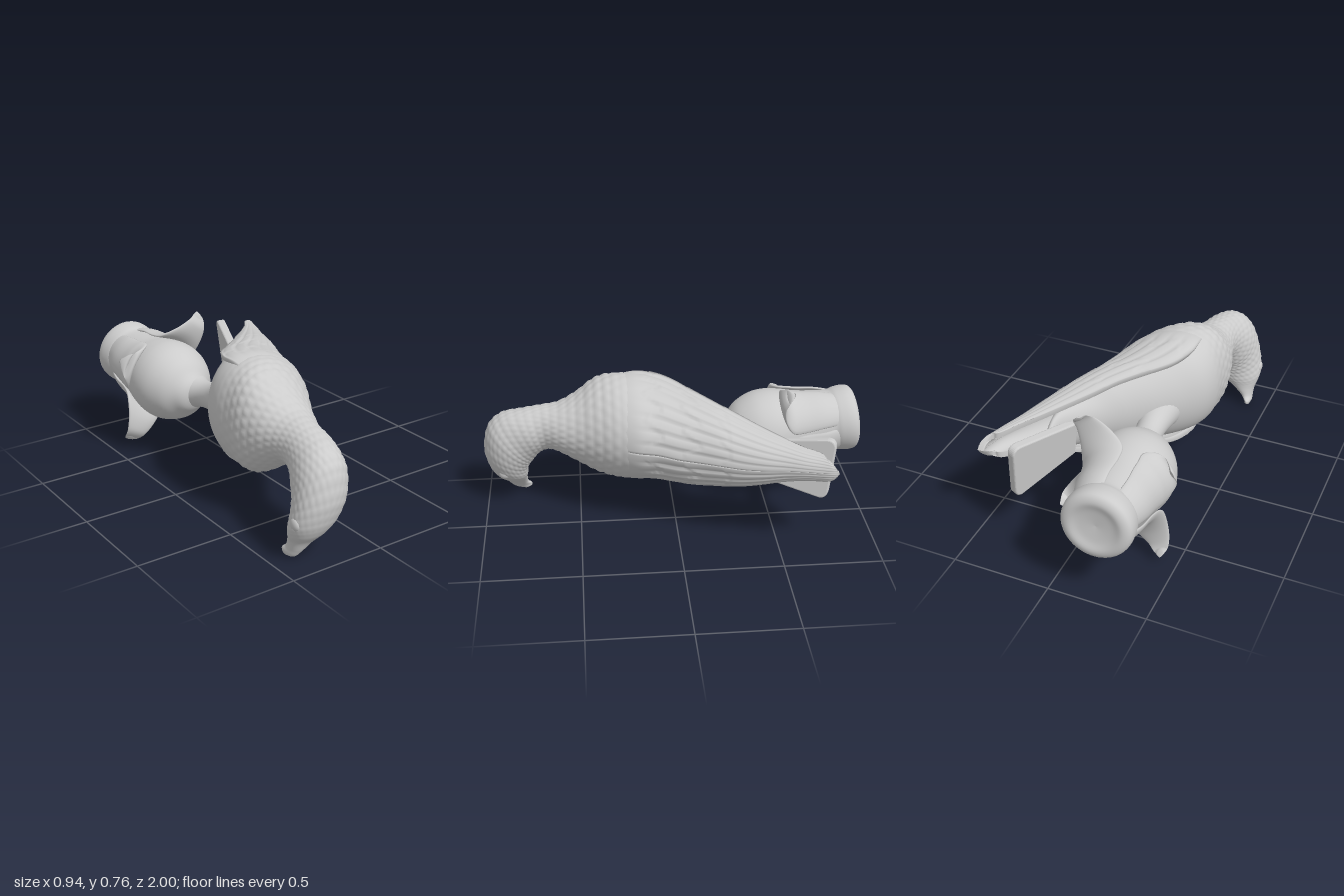
import * as THREE from 'three';

const grey = new THREE.MeshStandardMaterial({ color: 0xcccccc, side: THREE.DoubleSide });
const V = (x, y, z) => new THREE.Vector3(x, y, z);
const ramp = THREE.MathUtils.smoothstep;

function add(parent, name, geometry) {
  const mesh = new THREE.Mesh(geometry, grey);
  mesh.name = name;
  parent.add(mesh);
  return mesh;
}

// Smooth reading of a table of stations, t from 0 to 1
function sampler(table) {
  const n = table.length - 1;
  const it = new THREE.CubicInterpolant(table.map((_, i) => i), table.flat(), table[0].length);
  return t => Array.from(it.evaluate(Math.min(t, 1) * n));
}

// Skin over closed rings of points, capped at both ends, turned outwards
function loft(rings) {
  const n = rings[0].length, m = rings.length, index = [];
  const centre = ring => ring.reduce((s, p) => s.add(p), V(0, 0, 0)).divideScalar(n);
  const pts = [...rings.flat(), centre(rings[0]), centre(rings[m - 1])];
  for (let i = 0; i < m - 1; i++) {
    for (let j = 0; j < n; j++) {
      const a = i * n + j, b = i * n + (j + 1) % n;
      index.push(a, b, b + n, a, b + n, a + n);
    }
  }
  for (let j = 0; j < n; j++) {
    const k = (j + 1) % n, e = (m - 1) * n;
    index.push(m * n, k, j, m * n + 1, e + j, e + k);
  }
  let volume = 0;
  for (let i = 0; i < index.length; i += 3) {
    volume += pts[index[i]].dot(V(0, 0, 0).crossVectors(pts[index[i + 1]], pts[index[i + 2]]));
  }
  if (volume < 0) index.reverse();
  const g = new THREE.BufferGeometry().setFromPoints(pts);
  g.setIndex(index);
  g.computeVertexNormals();
  return g;
}

// Body, neck, head and bill in one skin: back z, back y, throat z, throat y, x, half width
function bodyGeometry() {
  const at = sampler([
    [-.54, .52, -.54, .44, .21, .015], [-.45, .58, -.45, .38, .2, .04],
    [-.3, .61, -.3, .33, .15, .12], [-.2, .65, -.2, .29, .09, .17],
    [-.1, .68, -.1, .26, .01, .2], [0, .71, 0, .23, -.055, .23],
    [.1, .735, .1, .215, -.105, .255], [.2, .75, .2, .2, -.125, .265],
    [.3, .75, .3, .2, -.145, .245], [.4, .72, .4, .22, -.175, .215],
    [.5, .65, .5, .28, -.195, .175], [.6, .6, .6, .34, -.205, .135],
    [.7, .58, .66, .345, -.22, .11], [.8, .56, .705, .32, -.23, .115],
    [.9, .53, .74, .27, -.25, .125], [.97, .46, .76, .24, -.262, .132],
    [1, .33, .775, .2, -.283, .132], [.985, .22, .78, .15, -.308, .121],
    [.955, .15, .785, .118, -.328, .094], [.915, .1, .787, .088, -.35, .06],
    [.885, .05, .785, .053, -.373, .033], [.855, .015, .768, .033, -.388, .02],
    [.805, 0, .767, .018, -.39, .011]]);
  const rings = [];
  for (let i = 0; i <= 240; i++) {
    const t = i / 240, [z1, y1, z2, y2, x, w] = at(t);
    const row = t * 48, fade = ramp(t, .3, .42) * (1 - ramp(t, .7, .84));
    // The breast is blunter than the back
    const breast = .05 * ramp(t, .18, .34) * (1 - ramp(t, .38, .5));
    const ring = [];
    for (let j = 0; j < 120; j++) {
      const a = j / 120 * Math.PI * 2, c = Math.cos(a), s = Math.sin(a);
      // Staggered rows of small overlapping feathers
      const col = Math.abs(Math.sin(a * 13 + (Math.floor(row) % 2) * Math.PI / 2));
      const k = .5 + fade * .014 * col * Math.sin((row % 1) * Math.PI);
      ring.push(V(x + w * s * k * 2 - breast * c * c, (y1 + y2) / 2 + (y1 - y2) * c * k,
        (z1 + z2) / 2 + (z1 - z2) * c * k));
    }
    rings.push(ring);
  }
  return loft(rings);
}

// Folded wing, a curved shell: z, hinge x, outer x, middle y, half height
function wingGeometry(side) {
  const at = sampler([
    [.31, -.14, .09, .475, .265], [.2, -.135, .15, .478, .28], [.1, -.13, .18, .478, .272],
    [0, -.1, .22, .47, .26], [-.1, -.03, .255, .468, .238], [-.2, .05, .3, .47, .213],
    [-.3, .12, .34, .47, .183], [-.4, .195, .375, .477, .148], [-.5, .27, .405, .488, .113],
    [-.6, .345, .44, .497, .085], [-.7, .4, .468, .5, .072], [-.75, .425, .472, .5, .062]]);
  const rings = [], n = 48;
  for (let i = 0; i <= 110; i++) {
    const t = i / 110, [z, x, right, y, h] = at(t);
    const arc = 2 - .4 * t, outer = [], inner = [];
    const breast = .05 * (1 - ramp(t, .1, .4));
    for (let j = 0; j <= n; j++) {
      const f = j / n, a = f * arc, c = Math.cos(a), s = Math.sin(a) * side;
      // Long feathers side by side, with three rows of shorter ones at the shoulder
      const feather = (f * 8) % 1;
      const step = t < .5 ? Math.abs((t * 6 + .25 * Math.sin(f * 25)) % 1) * ramp(f, 0, .1) : 0;
      const k = 1 - ramp(t, .05, .2) * (.045 * feather ** 3 + .015 * step);
      const thick = .008 + .022 * ramp(t, 0, .2);
      const zz = z + ramp(t, .85, 1) * .06 * f;
      const dx = -breast * s * s;
      outer.push(V(x + (right - x) * c * k + dx, y + h * s * k, zz));
      inner.unshift(V(x + (right - x - Math.min(thick, (right - x) * .6)) * c + dx, y + (h - thick) * s, zz));
    }
    rings.push([...outer, ...inner]);
  }
  return loft(rings);
}

// Stalk flaring into breast and pod: z, x, y, radius
function stalkGeometry() {
  const at = sampler([[.06, -.14, .45, .15], [-.04, -.16, .435, .105], [-.13, -.168, .415, .077],
    [-.22, -.175, .4, .07], [-.3, -.185, .39, .09], [-.37, -.195, .39, .14]]);
  const rings = [];
  for (let i = 0; i <= 24; i++) {
    const [z, x, y, r] = at(i / 24), ring = [];
    for (let j = 0; j < 32; j++) {
      const a = j / 32 * Math.PI * 2;
      ring.push(V(x + r * Math.cos(a), y + r * Math.sin(a), z));
    }
    rings.push(ring);
  }
  return loft(rings);
}

// Sepal hugging the pod and curling out at its tip: radius, distance along pod, half width
function sepalGeometry(angle, reach, wide) {
  const at = sampler([[.15, .89, .1], [.176, .8, .115], [.19, .7, .13], [.214, .63, .135],
    [.27, .59, .1], [.34, .58, .065], [.38, .6, .042], [.39, .625, .015]]);
  const rings = [];
  for (let i = 0; i <= 40; i++) {
    const t = i / 40, [r0, d, w] = at(t), ring = [];
    const r = r0 < .2 ? r0 : .2 + (r0 - .2) * (reach - .2) / .19;
    const half = w * (1 + (wide - 1) * ramp(t, .3, .7));
    for (let j = 0; j < 24; j++) {
      const b = j / 24 * Math.PI * 2, o = .013 * Math.sin(b);
      const a = angle + half * Math.cos(b) / r;
      ring.push(V((r + o) * Math.cos(a), d + o, (r + o) * Math.sin(a)));
    }
    rings.push(ring);
  }
  return loft(rings);
}

export function createModel() {
  const model = new THREE.Group();
  model.name = 'birdOnPod';

  const bird = new THREE.Group();
  bird.name = 'bird';
  model.add(bird);
  add(bird, 'body', bodyGeometry());
  add(bird, 'upperWing', wingGeometry(1));
  add(bird, 'lowerWing', wingGeometry(-1));
  for (const side of [-1, 1]) {
    const eye = add(bird, side > 0 ? 'leftEye' : 'rightEye', new THREE.SphereGeometry(.032, 20, 14));
    eye.position.set(-.306 + side * .11, .205, .895);
    eye.scale.x = .55;
  }

  // Flat upright tail fan, slightly tilted
  const fan = new THREE.Shape();
  fan.moveTo(-.06, .36);
  fan.lineTo(.27, .275);
  fan.quadraticCurveTo(.3, .275, .305, .31);
  fan.lineTo(.335, .54);
  fan.quadraticCurveTo(.335, .575, .3, .575);
  fan.lineTo(-.06, .54);
  const tail = add(bird, 'tail', new THREE.ExtrudeGeometry(fan, {
    depth: .026, bevelSize: .008, bevelThickness: .01, bevelSegments: 3, curveSegments: 8 }));
  tail.rotation.set(0, 1.185, .12, 'ZYX');
  tail.position.set(.207, -.012, -.46);

  add(model, 'stalk', stalkGeometry());

  // Round pod with a collared end, lying along z
  const pod = new THREE.Group();
  pod.name = 'pod';
  pod.rotation.x = -Math.PI / 2 + .09;
  pod.rotation.z = .04;
  pod.position.set(-.2, .355, .01);
  model.add(pod);
  const profile = new THREE.SplineCurve([
    [0, .26], [.07, .28], [.115, .32], [.165, .37], [.203, .45], [.212, .53], [.2, .61], [.18, .69],
    [.167, .78], [.16, .86], [.17, .9], [.175, .95], [.165, .985], [.13, 1], [.08, .988], [0, .98]
  ].map(([r, d]) => new THREE.Vector2(r, d)));
  const points = profile.getPoints(70);
  points.forEach(p => { p.x = Math.max(p.x, 0); });
  add(pod, 'podBody', new THREE.LatheGeometry(points, 56));
  [[50, .38, 1], [-32, .365, 1], [-119, .4, 1], [153, .255, 1.25]].forEach(([deg, reach, wide]) => {
    add(pod, 'sepal', sepalGeometry(THREE.MathUtils.degToRad(deg), reach, wide));
  });
  return model;
}
